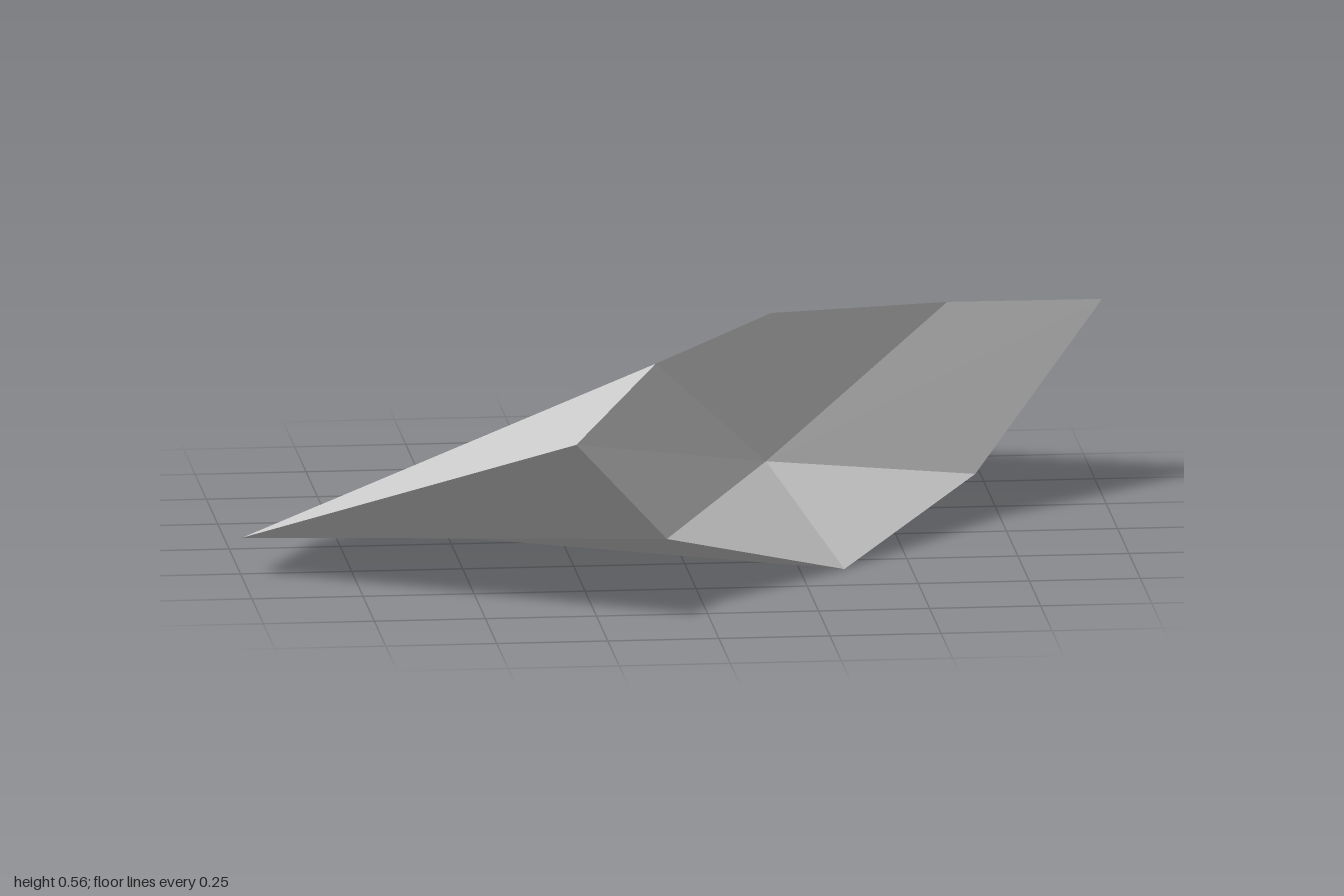
import * as THREE from 'three';

// Corners of the rock slab
const P = {
  // upper rim of the broken face, and its sunken centre
  f: [-0.32, 0.45, 0.99], p: [-0.10, 0.54, 0.59], q: [0.20, 0.56, 0.20],
  r: [0.63, 0.50, -0.13], b: [1.00, 0.45, -0.34], o: [0.19, 0.215, 0.18],
  // lower rim of the broken face
  c: [0.69, 0.11, -0.10], d: [0.35, 0.00, 0.34], e: [-0.09, 0.17, 0.735],
  // thin back edge
  g: [-1.00, 0.09, 0.28], h: [-0.83, 0.045, -0.03], i: [-0.44, 0.05, -0.46],
  j: [-0.01, 0.02, -0.74], a: [0.21, 0.02, -1.00],
};

// Faceted surface from triangles named by their corners
function facets(name, faces, material) {
  const points = faces.flatMap((face) => [...face].flatMap((key) => P[key]));
  const geometry = new THREE.BufferGeometry();
  geometry.setAttribute('position', new THREE.Float32BufferAttribute(points, 3));
  geometry.computeVertexNormals();
  const mesh = new THREE.Mesh(geometry, material);
  mesh.name = name;
  return mesh;
}

export function createModel() {
  const stone = new THREE.MeshStandardMaterial({ color: 0xcccccc });
  stone.name = 'lightGreyStone';
  stone.flatShading = true;
  stone.side = THREE.DoubleSide;

  // Fan of facets around the sunken centre
  const rim = 'fedcbrqp';
  const fan = [...rim].map((key, n) => 'o' + key + rim[(n + 1) % rim.length]);

  const group = new THREE.Group();
  group.name = 'rockSlab';
  group.add(
    facets('slopingTop', ['gfp', 'gph', 'hpq', 'hqi', 'iqj', 'jqr', 'jra', 'arb'], stone),
    facets('underside', ['egh', 'ehd', 'dhi', 'dij', 'djc', 'cja'], stone),
    facets('endFaces', ['fge', 'cab'], stone),
    facets('brokenFace', fan, stone),
  );
  return group;
}
